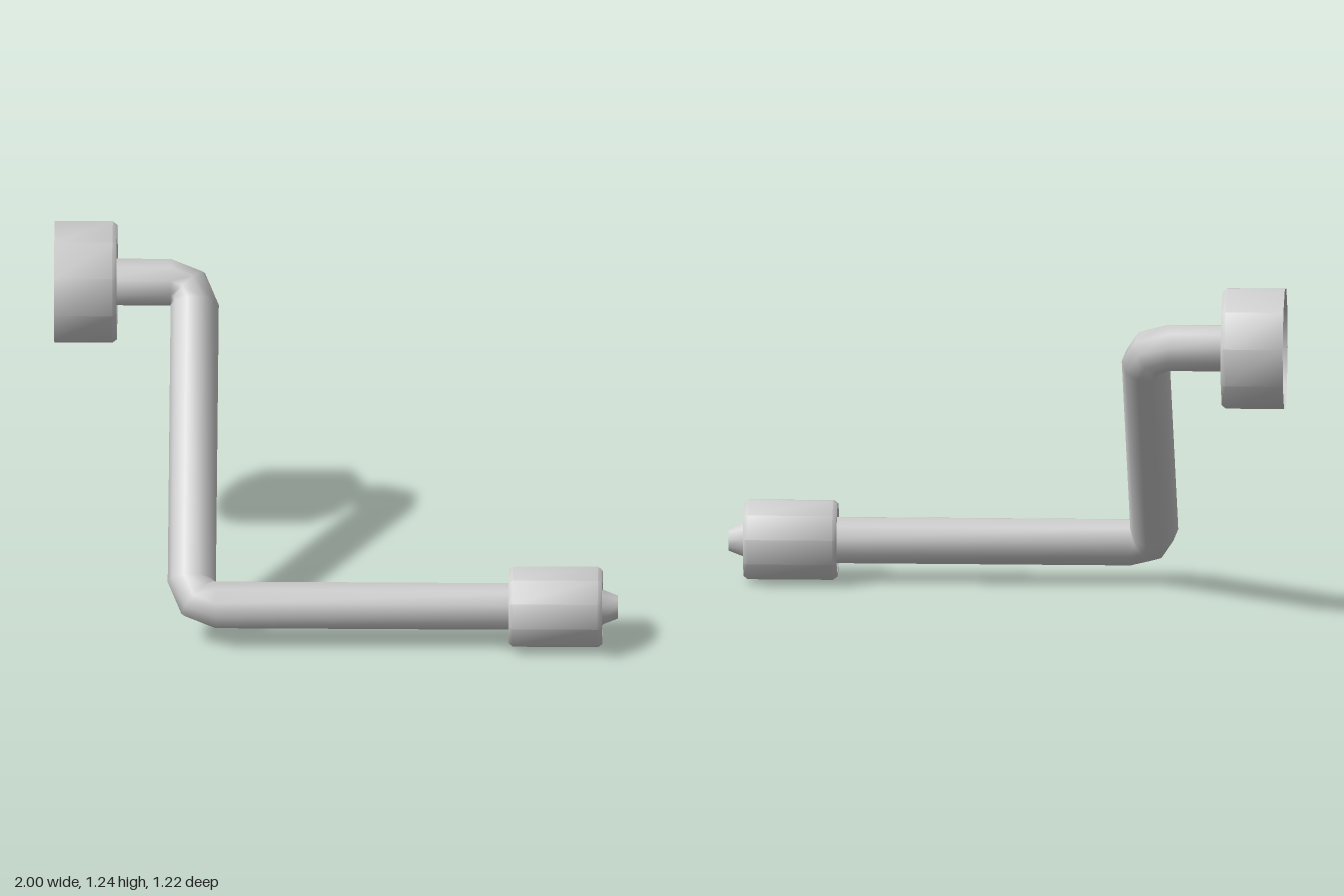
import * as THREE from 'three';
import { toCreasedNormals } from 'three/addons/utils/BufferGeometryUtils.js';

const SIDES = 10;
const ROD_R = 0.085;
const LOW = new THREE.Vector3(0, 0.148, 0.463); // axis of the grip
const HIGH = new THREE.Vector3(0, 1.018, -0.393); // axis of the socket

// Turned part along +x; profile points are [x, radius]
function turned(name, profile, axis, material) {
  const points = profile.map(([x, r]) => new THREE.Vector2(r, x));
  const lathe = new THREE.LatheGeometry(points, SIDES, THREE.MathUtils.degToRad(10));
  const mesh = new THREE.Mesh(toCreasedNormals(lathe, 0.7), material);
  mesh.name = name;
  mesh.rotation.z = -Math.PI / 2;
  mesh.position.copy(axis);
  return mesh;
}

// Round bar bent twice in one plane, spanned by x and the slanted arm
function bentRod(material) {
  const arm = HIGH.clone().sub(LOW);
  const length = arm.length();
  arm.normalize();
  const side = new THREE.Vector3(1, 0, 0).cross(arm);
  const bendX = -0.505;
  const k = ROD_R;

  // Rings as [x, distance along arm, travel angle from -x towards arm]
  const rings = [[0.9, 0, 0]];
  const steps = 2;
  for (let i = 0; i <= steps; i++) {
    const a = (i / steps) * Math.PI / 2;
    rings.push([bendX + k - k * Math.sin(a), k - k * Math.cos(a), a]);
  }
  for (let i = steps; i >= 0; i--) {
    const a = (i / steps) * Math.PI / 2;
    rings.push([bendX - k + k * Math.sin(a), length - k + k * Math.cos(a), a]);
  }
  rings.push([-0.86, length, 0]);

  const positions = [];
  const indices = [];
  rings.forEach(([x, s, a], row) => {
    const center = LOW.clone().addScaledVector(arm, s).setX(x);
    const normal = new THREE.Vector3(-Math.sin(a), 0, 0).addScaledVector(arm, -Math.cos(a));
    for (let j = 0; j < SIDES; j++) {
      const t = (j / SIDES) * Math.PI * 2;
      const p = center.clone()
        .addScaledVector(normal, ROD_R * Math.cos(t))
        .addScaledVector(side, ROD_R * Math.sin(t));
      positions.push(p.x, p.y, p.z);
      if (row === 0) continue;
      const j2 = (j + 1) % SIDES;
      const a0 = (row - 1) * SIDES + j, b0 = (row - 1) * SIDES + j2;
      const a1 = row * SIDES + j, b1 = row * SIDES + j2;
      indices.push(a0, a1, b0, b0, a1, b1);
    }
  });
  const geometry = new THREE.BufferGeometry();
  geometry.setAttribute('position', new THREE.Float32BufferAttribute(positions, 3));
  geometry.setIndex(indices);
  geometry.computeVertexNormals();
  const mesh = new THREE.Mesh(geometry, material);
  mesh.name = 'crankRod';
  return mesh;
}

export function createModel() {
  const model = new THREE.Group();
  model.name = 'handCrank';
  const material = new THREE.MeshStandardMaterial({ color: 0xcccccc, side: THREE.DoubleSide });

  model.add(bentRod(material));

  // Open cup with a dished face and a collar around the rod
  model.add(turned('socketCup', [
    [-1, 0.222], [-0.795, 0.222], [-0.78, 0.21], [-0.78, 0.192],
    [-0.855, 0.106], [-0.845, 0.1], [-0.845, 0.086], [-0.86, 0.08], [-0.86, 0],
  ], HIGH, material));

  // Rounded grip, recessed at both ends
  model.add(turned('grip', [
    [0.64, 0.08], [0.64, 0.105], [0.615, 0.12], [0.615, 0.135], [0.63, 0.147],
    [0.93, 0.147], [0.945, 0.135], [0.945, 0.11], [0.925, 0.1], [0.925, 0.07],
  ], LOW, material));

  // Tapered end of the spindle
  model.add(turned('spindleTip', [
    [0.915, 0.08], [0.925, 0.078], [0.95, 0.062], [1, 0.042], [1, 0],
  ], LOW, material));

  return model;
}
